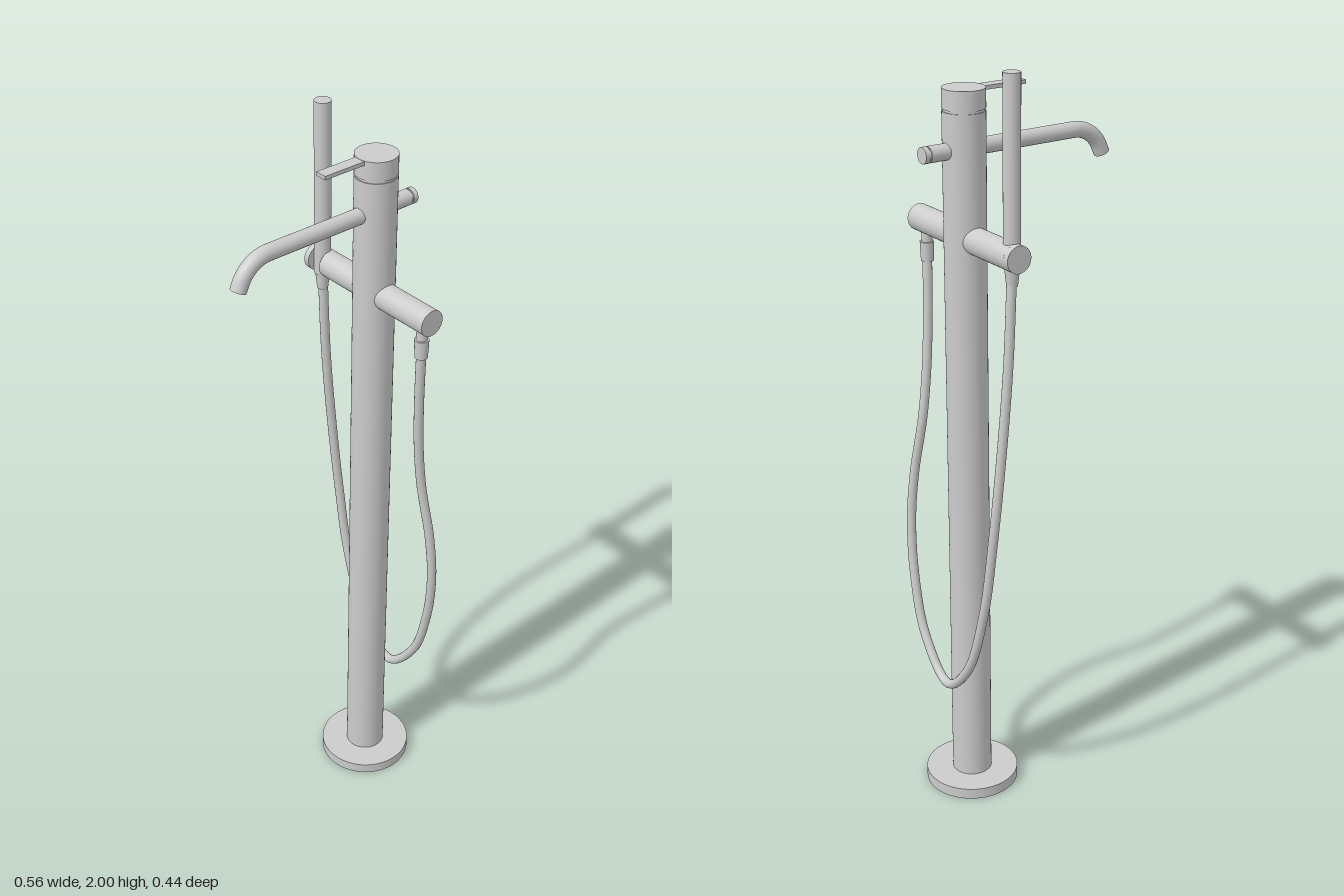
import * as THREE from 'three';

const CX = 0.152, CZ = 0.007; // column axis
const material = new THREE.MeshStandardMaterial({ color: 0xcccccc });
const doubleSided = new THREE.MeshStandardMaterial({ color: 0xcccccc, side: THREE.DoubleSide });
const V = (x, y, z) => new THREE.Vector3(x, y, z);

export function createModel() {
  const group = new THREE.Group();

  const add = (name, geometry, mat = material) => {
    const mesh = new THREE.Mesh(geometry, mat);
    mesh.name = name;
    group.add(mesh);
    return mesh;
  };

  // Cylinder between two points, with its own radius at each end
  const rod = (name, a, b, ra, rb = ra, sides = 40) => {
    const mesh = add(name, new THREE.CylinderGeometry(rb, ra, a.distanceTo(b), sides));
    mesh.position.copy(a).lerp(b, 0.5);
    mesh.quaternion.setFromUnitVectors(V(0, 1, 0), b.clone().sub(a).normalize());
    return mesh;
  };
  const upright = (name, x, z, y0, y1, r0, r1) => rod(name, V(x, y0, z), V(x, y1, z), r0, r1);

  // Floor plate, column and the rotating cap above a fine groove
  upright('basePlate', CX, CZ, 0, 0.03, 0.126);
  upright('column', CX, CZ, 0.03, 1.877, 0.0535);
  upright('capGroove', CX, CZ, 1.877, 1.883, 0.051);
  upright('cap', CX, CZ, 1.883, 1.932, 0.0535);

  // Flat lever, flush with the top of the cap
  const lever = add('lever', new THREE.BoxGeometry(0.15, 0.01, 0.032));
  lever.position.set(0.057, 1.926, CZ);

  // Spout: straight run, bend, short outlet
  const spoutY = 1.784, bend = 0.09, turn = 1.15, bendX = -0.175;
  const spoutPath = new THREE.CurvePath();
  const arcPoints = [];
  for (let i = 0; i <= 12; i++) {
    const a = (turn * i) / 12;
    arcPoints.push(V(bendX - bend * Math.sin(a), spoutY - bend * (1 - Math.cos(a)), CZ));
  }
  const down = V(-Math.cos(turn), -Math.sin(turn), 0);
  const outlet = arcPoints[12].clone().addScaledVector(down, 0.018);
  spoutPath.add(new THREE.LineCurve3(V(CX, spoutY, CZ), arcPoints[0]));
  spoutPath.add(new THREE.CatmullRomCurve3(arcPoints));
  spoutPath.add(new THREE.LineCurve3(arcPoints[12], outlet));
  add('spout', new THREE.TubeGeometry(spoutPath, 90, 0.0205, 28), doubleSided);
  const outletFace = add('spoutOutlet', new THREE.CircleGeometry(0.0205, 28));
  outletFace.position.copy(outlet).addScaledVector(down, -0.002);
  outletFace.quaternion.setFromUnitVectors(V(0, 0, 1), down);

  // Diverter knob opposite the spout
  rod('diverterStem', V(CX, spoutY, CZ), V(0.255, spoutY, CZ), 0.0205);
  rod('diverterGroove', V(0.255, spoutY, CZ), V(0.259, spoutY, CZ), 0.018);
  rod('diverterKnob', V(0.259, spoutY, CZ), V(0.272, spoutY, CZ), 0.0205);

  // Cross bar with a slot at the back that cradles the hand shower
  const barY = 1.565, barR = 0.0345, slotFront = -0.163, slotBack = -0.205;
  rod('crossBar', V(CX, barY, slotFront), V(CX, barY, 0.218), barR);
  rod('crossBarEnd', V(CX, barY, -0.221), V(CX, barY, slotBack), barR);
  const half = new THREE.Shape();
  half.absarc(0, 0, barR, -Math.PI / 2, Math.PI / 2, false);
  half.closePath();
  const cradle = add('cradle', new THREE.ExtrudeGeometry(half,
    { depth: slotFront - slotBack, bevelEnabled: false, curveSegments: 24 }));
  cradle.position.set(CX, barY, slotBack);

  // Hand shower and its tapered hose joint
  const showerX = 0.147, showerZ = -0.184;
  upright('handShower', showerX, showerZ, 1.535, 2, 0.0215);
  upright('handShowerJoint', showerX, showerZ, 1.49, 1.535, 0.014, 0.019);

  // Hose outlet under the front of the bar
  const outX = 0.15, outZ = 0.187;
  upright('hoseOutletNeck', outX, outZ, 1.505, 1.545, 0.014);
  upright('hoseOutletNut', outX, outZ, 1.457, 1.508, 0.0165, 0.0185);

  // Hanging hose
  const hosePath = new THREE.CatmullRomCurve3([
    [0.15, 1.47, 0.187], [0.158, 1.32, 0.178], [0.17, 1.18, 0.17], [0.185, 1.04, 0.171],
    [0.203, 0.87, 0.192], [0.213, 0.73, 0.197], [0.22, 0.575, 0.177], [0.223, 0.415, 0.125],
    [0.222, 0.312, 0.022], [0.222, 0.4, -0.082], [0.216, 0.6, -0.152], [0.207, 0.81, -0.182],
    [0.187, 1.05, -0.193], [0.163, 1.29, -0.19], [0.148, 1.51, -0.184],
  ].map((p) => V(...p)));
  add('hose', new THREE.TubeGeometry(hosePath, 160, 0.0125, 16));

  return group;
}
